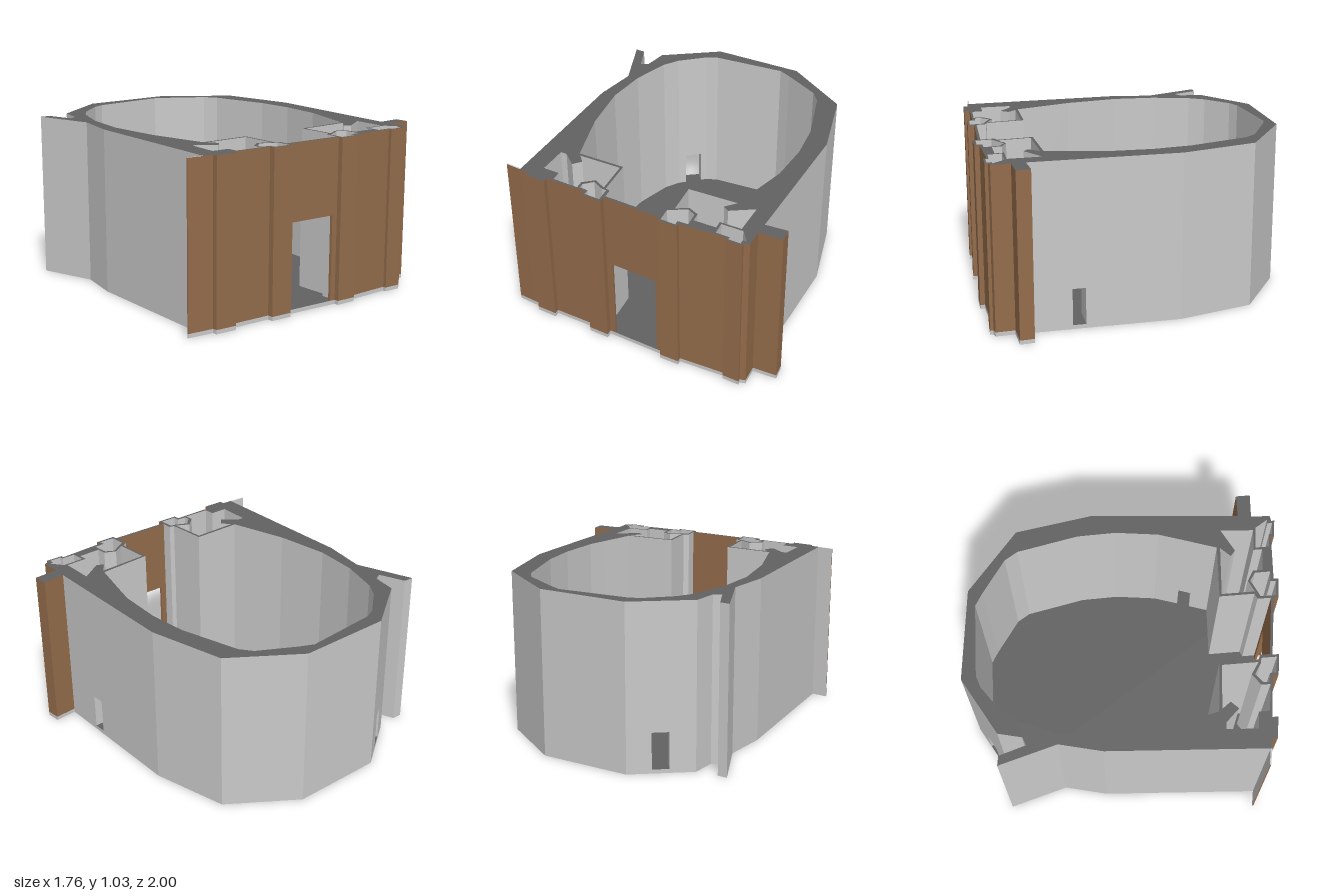
import * as THREE from 'three';
import { mergeGeometries } from 'three/addons/utils/BufferGeometryUtils.js';

const FLOOR = 0.025, TOP = 1.035;
const stone = new THREE.MeshStandardMaterial({ name: 'light grey wall', color: 0xc9c9c9 });
const dark = new THREE.MeshStandardMaterial({ name: 'dark grey floor and wall top', color: 0x616161 });
const timber = new THREE.MeshStandardMaterial({ name: 'brown facade', color: 0x936c4b });

// Plan outlines as [x, z]; the outer one runs clockwise seen from above, the holes anticlockwise
const outer = [
  [-0.2, -1], [0.37, -0.935], [0.745, -0.62], [0.82, -0.14], [0.74, 0.775],
  [0.88, 0.78], [0.88, 0.868], [0.73, 0.858], [0.725, 0.975], [0.69, 0.98], [0.69, 1],
  [0.585, 0.985], [0.585, 0.965], [0.295, 0.945], [0.295, 0.975], [0.17, 0.96], [0.17, 0.93],
  [-0.2, 0.875], [-0.2, 0.915], [-0.33, 0.895], [-0.33, 0.86], [-0.59, 0.825], [-0.59, 0.86],
  [-0.72, 0.84], [-0.72, 0.81], [-0.78, 0.8], [-0.88, 0.78], [-0.88, 0.772], [-0.78, 0.79],
  [-0.715, -0.185], [-0.65, -0.45], [-0.75, -0.81], [-0.69, -0.8], [-0.64, -0.635],
  [-0.59, -0.655], [-0.555, -0.8],
];
const hall = [
  [-0.195, 0.86], [0.17, 0.913], [0.17, 0.83], [0.205, 0.815], [0.205, 0.6], [0.535, 0.62],
  [0.61, 0.4], [0.655, 0.265], [0.69, 0], [0.685, -0.24], [0.61, -0.62], [0.56, -0.7],
  [0.345, -0.85], [0.27, -0.895], [-0.185, -0.91], [-0.26, -0.885], [-0.42, -0.77],
  [-0.49, -0.68], [-0.58, -0.45], [-0.625, -0.185], [-0.605, 0.15], [-0.53, 0.515],
  [-0.225, 0.55], [-0.225, 0.79], [-0.195, 0.8],
];
const rightRooms = {
  rightRoom: [[-0.64, 0.545], [-0.655, 0.735], [-0.55, 0.75], [-0.55, 0.815], [-0.385, 0.84],
    [-0.385, 0.785], [-0.315, 0.735], [-0.24, 0.785], [-0.24, 0.565], [-0.515, 0.535],
    [-0.475, 0.59], [-0.52, 0.635], [-0.6, 0.55]],
  rightNiche: [[-0.37, 0.8], [-0.37, 0.835], [-0.315, 0.845], [-0.315, 0.883], [-0.215, 0.9],
    [-0.215, 0.805], [-0.245, 0.8], [-0.315, 0.755]],
};
const leftRooms = {
  leftRoom: [[0.22, 0.615], [0.22, 0.82], [0.295, 0.785], [0.36, 0.825], [0.36, 0.885],
    [0.5, 0.9], [0.5, 0.845], [0.635, 0.86], [0.65, 0.655], [0.505, 0.73], [0.47, 0.7], [0.53, 0.64]],
  leftNiche: [[0.2, 0.845], [0.185, 0.85], [0.185, 0.945], [0.28, 0.958], [0.28, 0.925],
    [0.345, 0.93], [0.345, 0.835], [0.295, 0.8]],
  cornerNiche: [[0.515, 0.86], [0.515, 0.945], [0.6, 0.955], [0.6, 0.975], [0.675, 0.985],
    [0.675, 0.955], [0.7, 0.955], [0.65, 0.875]],
};

// Openings: edge number and start/end fraction on the outer wall and on the hall wall
const openings = [
  { name: 'door', top: 0.562, out: [16, 0.093, 0.89], inn: [0, 0.098, 0.906], mat: timber },
  { name: 'sideWindow', top: 0.253, out: [3, 0.634, 0.721], inn: [5, 0.545, 0.909], mat: stone },
  { name: 'backWindow', top: 0.253, out: [35, 0.38, 0.634], inn: [15, 0.19, 0.75], mat: stone },
];

const v2 = (pts) => pts.map(([x, y]) => new THREE.Vector2(x, y));

// Level faces at height y, looking up or down
function faceUp(pts, y, holes = []) {
  const plan = (p) => new THREE.Shape(v2(p.map(([x, z]) => [x, -z])));
  const shape = plan(pts);
  shape.holes = holes.map(plan);
  return new THREE.ShapeGeometry(shape).rotateX(-Math.PI / 2).translate(0, y, 0);
}
function faceDown(pts, y) {
  return new THREE.ShapeGeometry(new THREE.Shape(v2(pts))).rotateX(Math.PI / 2).translate(0, y, 0);
}

// Upright wall face from a to b, optionally notched at the bottom by an opening
function panel(a, b, y0, y1, cut) {
  const L = Math.hypot(a[0] - b[0], a[1] - b[1]), h = y1 - y0;
  const pts = [[0, 0]];
  if (cut) {
    const u0 = (1 - cut.t1) * L, u1 = (1 - cut.t0) * L, c = cut.top - y0;
    pts.push([u0, 0], [u0, c], [u1, c], [u1, 0]);
  }
  pts.push([L, 0], [L, h], [0, h]);
  const u = new THREE.Vector3((a[0] - b[0]) / L, 0, (a[1] - b[1]) / L);
  const y = new THREE.Vector3(0, 1, 0);
  const m = new THREE.Matrix4().makeBasis(u, y, u.clone().cross(y)).setPosition(b[0], y0, b[1]);
  return new THREE.ShapeGeometry(new THREE.Shape(v2(pts))).applyMatrix4(m);
}

// All wall faces of one outline whose edge number passes the test
function walls(pts, side, test) {
  const list = [];
  pts.forEach((a, i) => {
    if (!test(i)) return;
    const o = side && openings.find((p) => p[side][0] === i);
    const cut = o && { t0: o[side][1], t1: o[side][2], top: o.top };
    list.push(panel(a, pts[(i + 1) % pts.length], FLOOR, TOP, cut));
  });
  return mergeGeometries(list);
}

function pointOn(pts, i, t) {
  const a = pts[i], b = pts[(i + 1) % pts.length];
  return [a[0] + (b[0] - a[0]) * t, a[1] + (b[1] - a[1]) * t];
}

export function createModel() {
  const model = new THREE.Group();
  model.name = 'walledHall';
  const add = (name, geometry, material) => {
    const mesh = new THREE.Mesh(geometry, material);
    mesh.name = name;
    model.add(mesh);
  };

  // Floor slab: dark top and underside, light rim
  const flap = outer.slice(25, 29);
  const body = outer.filter((p, i) => i !== 26 && i !== 27);
  add('floor', faceUp(body, FLOOR), dark);
  add('underside', faceDown(body, 0), dark);
  const rim = outer.map((a, i) => panel(a, outer[(i + 1) % outer.length], 0, FLOOR));
  add('floorRim', mergeGeometries(rim), stone);

  // Outer faces: brown front, grey elsewhere
  const isFront = (i) => i >= 4 && i <= 26;
  add('facade', walls(outer, 'out', isFront), timber);
  add('outerWall', walls(outer, 'out', (i) => !isFront(i)), stone);
  add('flapEnds', mergeGeometries([faceUp(flap, TOP), faceDown(flap, 0)]), stone);

  // Hall and small chambers; the back of the entrance wall is brown too
  add('entranceInside', walls(hall, 'inn', (i) => i === 0), timber);
  add('hallWall', walls(hall, 'inn', (i) => i !== 0), stone);
  for (const [name, pts] of Object.entries({ ...rightRooms, ...leftRooms })) {
    add(name, walls(pts, null, () => true), stone);
  }

  // Dark wall top in three pieces: around the back, right tower and left tower
  const back = [...outer.slice(29), ...outer.slice(0, 4), ...hall.slice(7, 21)];
  const right = [...outer.slice(16, 26), ...outer.slice(28, 30), ...hall.slice(20), ...hall.slice(0, 2)];
  const left = [...outer.slice(3, 17), ...hall.slice(1, 8)];
  add('wallTop', mergeGeometries([
    faceUp(back, TOP),
    faceUp(right, TOP, Object.values(rightRooms)),
    faceUp(left, TOP, Object.values(leftRooms)),
  ]), dark);

  // Jambs and lintel of each opening
  for (const o of openings) {
    const [p0, p1] = [1, 2].map((k) => pointOn(outer, o.out[0], o.out[k]));
    const [q0, q1] = [1, 2].map((k) => pointOn(hall, o.inn[0], o.inn[k]));
    add(o.name + 'Reveal', mergeGeometries([
      panel(p0, q1, FLOOR, o.top), panel(q0, p1, FLOOR, o.top), faceDown([p0, p1, q0, q1], o.top),
    ]), o.mat);
  }
  return model;
}
